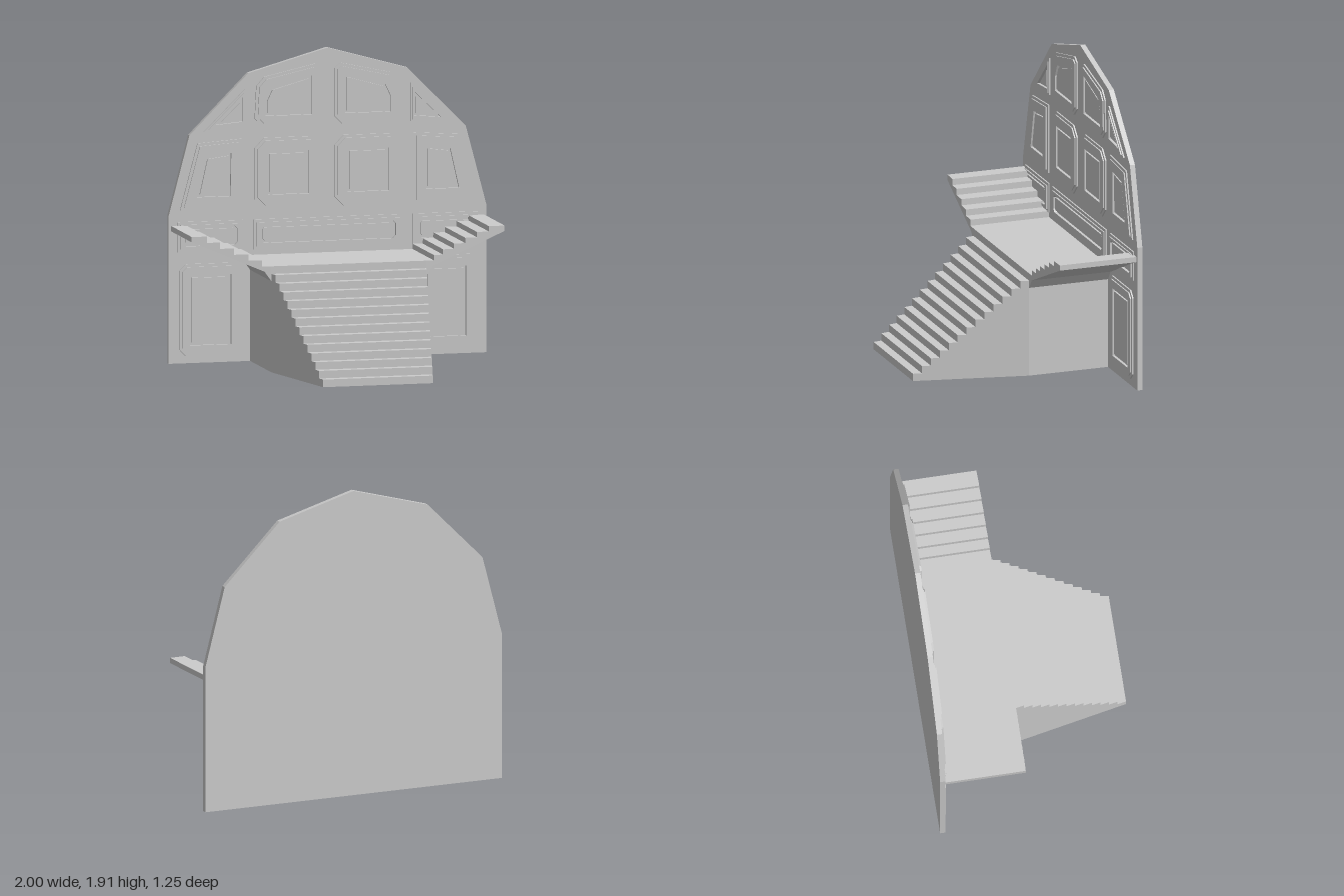
import * as THREE from 'three';

const WALL_BACK = -0.625, WALL_FRONT = -0.592;
const material = new THREE.MeshStandardMaterial({ color: 0xcccccc, flatShading: true });

const toVectors = (pts) => pts.map(([x, y]) => new THREE.Vector2(x, y));
const mirror = (pts) => pts.map(([x, y]) => [-x, y]).reverse();

// Prism of an outline between two depths, optionally with a hole
function slab(pts, z0, z1, hole) {
  const shape = new THREE.Shape(toVectors(pts));
  if (hole) shape.holes.push(new THREE.Path(toVectors(hole)));
  const geo = new THREE.ExtrudeGeometry(shape, { depth: z1 - z0, bevelEnabled: false });
  return geo.translate(0, 0, z0);
}

function add(parent, name, geo) {
  const mesh = new THREE.Mesh(geo, material);
  mesh.name = name;
  parent.add(mesh);
  return mesh;
}

// Counter-clockwise rectangle with chamfered corners
function rect(x0, y0, x1, y1, c = 0) {
  if (!c) return [[x0, y0], [x1, y0], [x1, y1], [x0, y1]];
  return [[x0 + c, y0], [x1 - c, y0], [x1, y0 + c], [x1, y1 - c],
    [x1 - c, y1], [x0 + c, y1], [x0, y1 - c], [x0, y0 + c]];
}

// Moves every edge of a counter-clockwise polygon inwards by d
function inset(pts, d) {
  const n = pts.length;
  return pts.map((p, i) => {
    const a = pts[(i + n - 1) % n], b = pts[(i + 1) % n];
    const u = new THREE.Vector2(p[0] - a[0], p[1] - a[1]).normalize();
    const v = new THREE.Vector2(b[0] - p[0], b[1] - p[1]).normalize();
    const k = d / (1 + u.dot(v));
    return [p[0] - (u.y + v.y) * k, p[1] + (u.x + v.x) * k];
  });
}

// Stepped moulding around a sunken field
function addPanel(parent, name, outer, inner, lip = 0.018) {
  const panel = new THREE.Group();
  panel.name = name;
  add(panel, 'mouldingBase', slab(outer, WALL_FRONT, -0.583, inner));
  add(panel, 'mouldingFace', slab(inset(outer, lip), -0.583, -0.575, inner));
  add(panel, 'field', slab(inset(inner, 0.015), WALL_FRONT, -0.58));
  parent.add(panel);
}

export function createModel() {
  const model = new THREE.Group();
  model.name = 'staircaseWithPanelledWall';

  // Back wall with faceted arch
  add(model, 'backWall', slab([[-1, 0], [1, 0], [1, 0.91], [0.87, 1.4], [0.5, 1.77],
    [0, 1.91], [-0.5, 1.77], [-0.87, 1.4], [-1, 0.91]], WALL_BACK, WALL_FRONT));

  // Wall panels, given for the +x half and mirrored
  const panels = [
    ['lowerPanel', rect(0.535, 0.045, 0.935, 0.61, 0.04), rect(0.61, 0.11, 0.87, 0.54)],
    ['sideBandPanel', rect(0.535, 0.685, 0.945, 0.87), rect(0.57, 0.72, 0.91, 0.838, 0.018)],
    ['squarePanel', rect(0.04, 0.935, 0.46, 1.37, 0.06), rect(0.12, 1.02, 0.38, 1.285)],
    ['taperedPanel', [[0.54, 0.935], [0.93, 0.94], [0.82, 1.35], [0.54, 1.37]],
      [[0.615, 1.02], [0.825, 1.02], [0.77, 1.265], [0.61, 1.285]]],
    ['upperPanel', [[0.09, 1.44], [0.41, 1.44], [0.46, 1.49], [0.45, 1.69], [0.4, 1.745],
      [0.08, 1.815], [0.04, 1.785], [0.04, 1.49]],
      [[0.105, 1.505], [0.395, 1.505], [0.395, 1.6], [0.36, 1.675], [0.105, 1.745]]],
    ['cornerPanel', [[0.52, 1.44], [0.78, 1.42], [0.52, 1.675]],
      [[0.54, 1.475], [0.71, 1.46], [0.54, 1.625]], 0.01],
  ];
  for (const [name, outer, inner, lip] of panels) {
    addPanel(model, name + 'Left', outer, inner, lip);
    addPanel(model, name + 'Right', mirror(outer), mirror(inner), lip);
  }
  addPanel(model, 'centreBandPanel', rect(-0.47, 0.685, 0.47, 0.87),
    rect(-0.425, 0.725, 0.425, 0.835, 0.018));

  // Main flight: stepped side profile, widening towards the landing
  const steps = 13, zFront = 0.622, zTop = -0.08, landingY = 0.652;
  const run = (zFront - zTop) / steps, rise = landingY / (steps + 1);
  const profile = [[zTop, 0], [zFront, 0]];
  for (let i = 0; i < steps; i++) {
    const z = zFront - i * run;
    profile.push([z, (i + 1) * rise], [z - run, (i + 1) * rise]);
  }
  const flight = slab(profile, 0, 1);
  const p = flight.attributes.position;
  for (let i = 0; i < p.count; i++) {
    const z = p.getX(i);
    const half = THREE.MathUtils.lerp(0.345, 0.487, (zFront - z) / (zFront - zTop));
    p.setXYZ(i, (0.5 - p.getZ(i)) * 2 * half, p.getY(i), z);
  }
  flight.computeVertexNormals();
  add(model, 'mainFlight', flight);

  // Landing block
  const depth = zTop - WALL_FRONT;
  const landing = new THREE.BoxGeometry(0.974, landingY, depth);
  landing.translate(0, landingY / 2, (zTop + WALL_FRONT) / 2);
  add(model, 'landing', landing);

  // Side flights rising outwards with sloping undersides
  const addWing = (name, side, edges) => {
    const n = edges.length - 1;
    const pts = [[0.487, 0.56], [0.53, 0.62], [0.985, 0.815]];
    for (let i = n; i > 0; i--) {
      const y = landingY + (0.848 - landingY) * i / n;
      pts.push([edges[i], y], [edges[i - 1], y]);
    }
    pts.push([edges[0], landingY], [0.487, landingY]);
    const geo = slab(side > 0 ? pts : mirror(pts), WALL_FRONT, zTop);
    const q = geo.attributes.position;
    for (let i = 0; i < q.count; i++) {
      if (q.getZ(i) > -0.3) q.setZ(i, zTop - 0.03 * (Math.abs(q.getX(i)) - 0.487));
    }
    geo.computeVertexNormals();
    add(model, name, geo);
  };
  addWing('sideFlightLeft', 1, [0.535, 0.595, 0.665, 0.735, 0.81, 0.885, 0.985]);
  addWing('sideFlightRight', -1, [0.545, 0.63, 0.72, 0.81, 0.89, 0.985]);

  return model;
}
